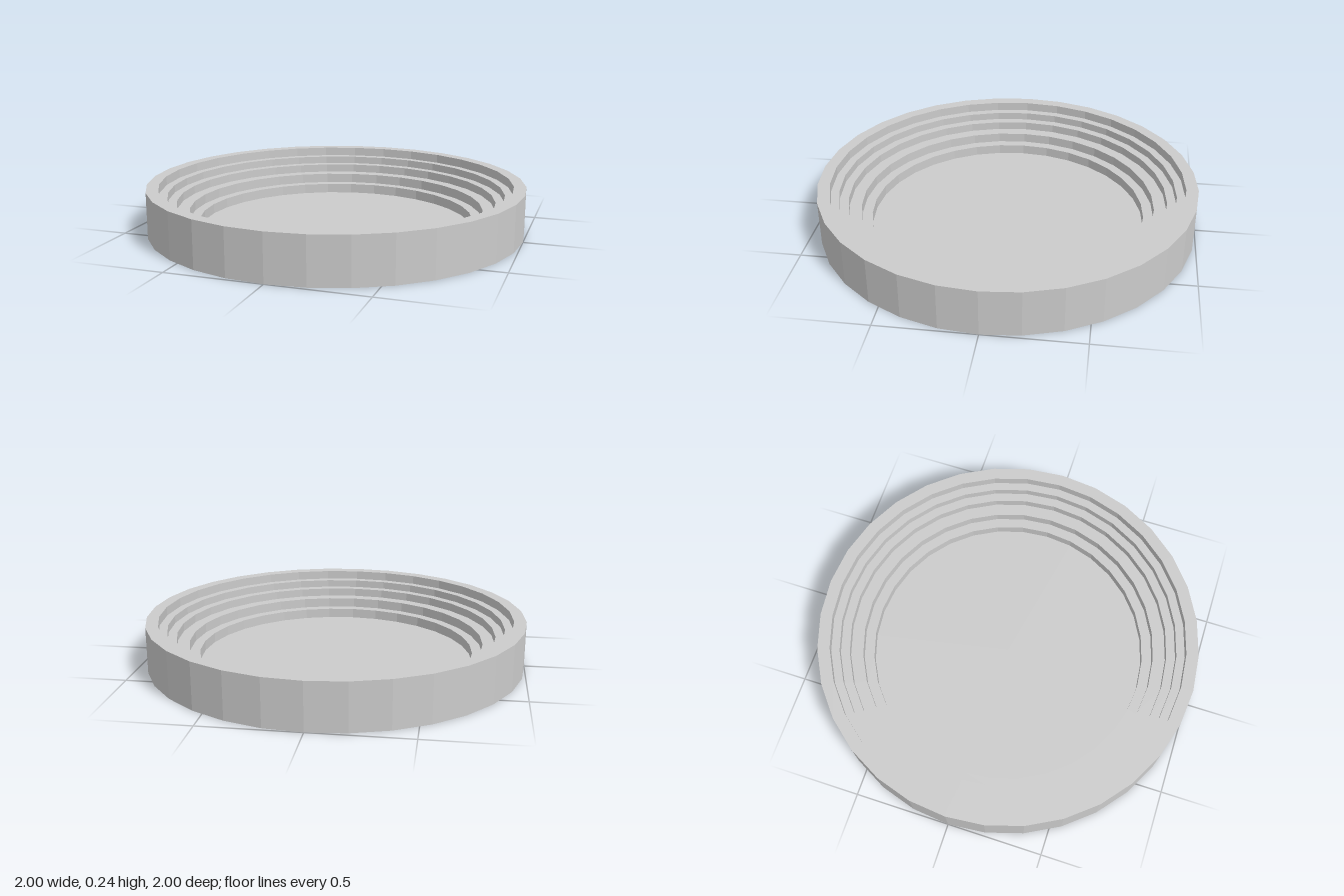
import * as THREE from 'three';

export function createModel() {
  const group = new THREE.Group();
  const material = new THREE.MeshStandardMaterial({ color: 0xcccccc, flatShading: true });

  // Inner terraces from the rim down: [radius of riser, height of the surface outside it]
  const terraces = [[0.936, 0.243], [0.892, 0.195], [0.845, 0.154], [0.78, 0.109], [0.727, 0.057]];
  const floorY = 0.004;

  // Profile: underside, outer wall, stepped inside, floor
  const profile = [[0, 0], [1, 0], [1, 0.243]];
  terraces.forEach(([radius, y], i) => {
    const below = i + 1 < terraces.length ? terraces[i + 1][1] : floorY;
    profile.push([radius, y], [radius, below]);
  });
  profile.push([0, floorY]);

  const dish = new THREE.Mesh(
    new THREE.LatheGeometry(profile.map(([r, y]) => new THREE.Vector2(r, y)), 32),
    material
  );
  dish.name = 'steppedDish';
  group.add(dish);
  return group;
}
